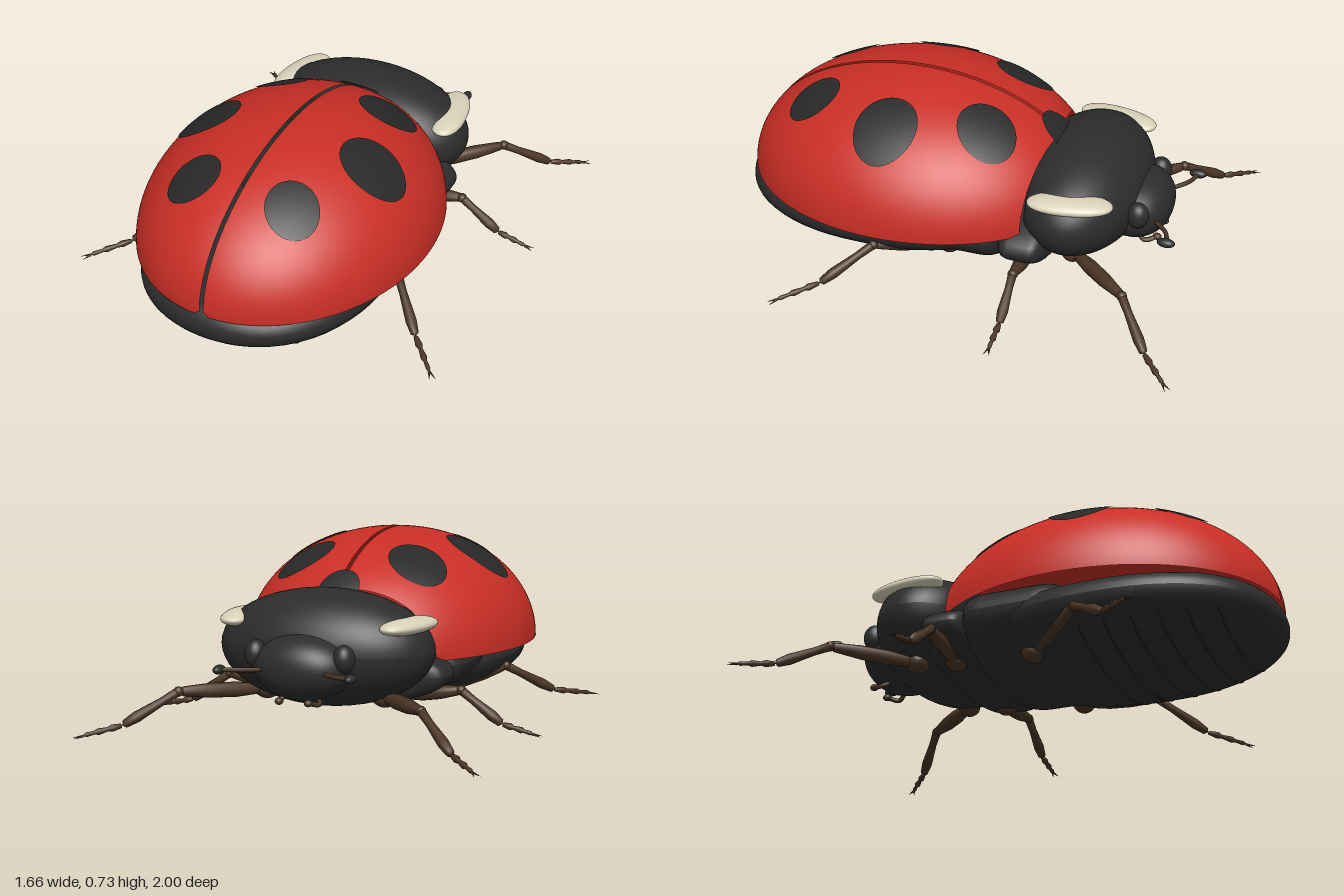
import * as THREE from 'three';
import { ParametricGeometry } from 'three/addons/geometries/ParametricGeometry.js';

const mat = (name, color, side = THREE.FrontSide) => {
  const m = new THREE.MeshStandardMaterial({ color, side });
  m.name = name;
  return m;
};
const V = (x, y, z) => new THREE.Vector3(x, y, z);

export function createModel() {
  const red = mat('wing case red', 0xc92e25, THREE.DoubleSide);
  const black = mat('body black', 0x2c2c2c);
  const spotBlack = mat('spot black', 0x282828, THREE.DoubleSide);
  const cream = mat('cream', 0xd9d2ba);
  const brown = mat('leg brown', 0x4a3525);
  const model = new THREE.Group();
  model.name = 'beetle';

  const add = (name, geometry, material, parent = model) => {
    const mesh = new THREE.Mesh(geometry, material);
    mesh.name = name;
    parent.add(mesh);
    return mesh;
  };

  // Ellipsoid whose profile along z gets boxier as e falls below 1
  const blob = (name, material, c, r, e = 1, limit = null, parent = model) => {
    const g = new THREE.SphereGeometry(1, 48, 32).rotateX(Math.PI / 2);
    const p = g.attributes.position;
    for (let i = 0; i < p.count; i++) {
      const z = p.getZ(i), ring = Math.sqrt(Math.max(0, 1 - z * z));
      const k = ring > 1e-5 ? Math.pow(ring, e - 1) : 0;
      const v = V(p.getX(i) * k * r[0], p.getY(i) * k * r[1], Math.sign(z) * Math.pow(Math.abs(z), e) * r[2]);
      if (limit) limit(v);
      p.setXYZ(i, v.x, v.y, v.z);
    }
    if (e !== 1 || limit) g.computeVertexNormals();
    else g.scale(1, 1, 1);
    if (e === 1 && !limit) g.computeVertexNormals();
    const mesh = add(name, g, material, parent);
    mesh.position.set(...c);
    return mesh;
  };

  // Limb section between two points, from a lathe profile of [radius, fraction]
  const limb = (name, a, b, profile, material, parent) => {
    const len = a.distanceTo(b);
    const pts = profile.map(([r, t]) => new THREE.Vector2(r, t * len));
    const mesh = add(name, new THREE.LatheGeometry(pts, 12), material, parent);
    mesh.position.copy(a);
    mesh.quaternion.setFromUnitVectors(V(0, 1, 0), b.clone().sub(a).normalize());
    return mesh;
  };

  // Wing cases: two quarter shells of one ellipsoid, cut off at the front
  const RX = 0.59, RY = 0.465, RZ = 0.72, CY = 0.27, CZ = 0.27, GAP = 0.008;
  for (const s of [1, -1]) {
    const shell = new ParametricGeometry((u, v, out) => {
      const a = v * Math.PI / 2;
      const front = Math.acos((0.59 - 0.05 * Math.sin(a)) / RZ);
      const t = THREE.MathUtils.lerp(front, Math.PI - 0.03, s > 0 ? u : 1 - u);
      const r = Math.sin(t);
      out.set(s * (GAP + (RX - GAP) * r * Math.sin(a)), CY + RY * r * Math.cos(a), CZ - RZ * Math.cos(t));
    }, 48, 28);
    add(s > 0 ? 'leftWingCase' : 'rightWingCase', shell, red);
  }

  // Spots: thin discs laid over the wing case surface
  const spot = (name, cx, cz, radius, sweep = Math.PI * 2) => add(name,
    new ParametricGeometry((u, v, out) => {
      const rr = radius * (0.001 + 0.999 * u), a = (1 - v) * sweep;
      const x = cx + rr * Math.cos(a), z = cz + rr * Math.sin(a);
      const h = Math.sqrt(Math.max(0.0, 1 - (x / RX) ** 2 - ((z - CZ) / RZ) ** 2));
      const n = V(x / RX ** 2, h / RY, (z - CZ) / RZ ** 2).normalize();
      out.set(x, CY + RY * h, z).addScaledVector(n, 0.007);
    }, 10, 40), spotBlack);
  for (const s of [1, -1]) {
    spot('frontSpot', s * 0.24, -0.08, 0.116);
    spot('middleSpot', s * 0.36, 0.295, 0.127);
    spot('rearSpot', s * 0.21, 0.66, 0.103);
  }
  spot('collarSpot', 0, -0.32, 0.085, Math.PI);

  // Body
  const abC = [0, 0.21, 0.37], abR = [0.5, 0.175, 0.63], abE = 0.88;
  blob('abdomen', black, abC, abR, abE, v => { v.y = Math.min(v.y, 0.075); });
  blob('rearThorax', black, [0, 0.24, 0.005], [0.46, 0.177, 0.21], 0.3);
  blob('middleThorax', black, [0, 0.22, -0.275], [0.455, 0.13, 0.11], 0.45);
  blob('frontThorax', black, [0, 0.33, -0.43], [0.44, 0.23, 0.26], 1, v => { v.z = Math.min(v.z, 0.16); });
  blob('head', black, [0, 0.285, -0.64], [0.2, 0.128, 0.15], 0.9);

  // Segment seams under the abdomen
  for (let i = 0; i < 6; i++) {
    const z = 0.3 + i * 0.105;
    const k = Math.pow(1 - Math.pow((z - abC[2]) / abR[2] * Math.sign(z - abC[2]), 2 / abE), abE / 2);
    const pts = [];
    for (let j = 0; j <= 16; j++) {
      const a = (j / 16 - 0.5) * 2.1;
      pts.push(V(abR[0] * k * Math.sin(a), abC[1] - abR[1] * k * Math.cos(a), z));
    }
    add('bellySeam', new THREE.TubeGeometry(new THREE.CatmullRomCurve3(pts), 32, 0.003, 5), brown);
  }

  const femur = [[0, 0], [0.018, 0.02], [0.03, 0.35], [0.029, 0.65], [0.019, 0.95], [0, 1]];
  const tibia = [[0, 0], [0.018, 0.03], [0.016, 0.3], [0.022, 0.75], [0.016, 0.96], [0, 1]];
  const tarsus = [[0, 0], [0.009, 0.03], [0.014, 0.25], [0.008, 0.36], [0.013, 0.6], [0.007, 0.7], [0.009, 0.9], [0, 1]];
  const claw = [[0, 0], [0.005, 0.1], [0, 1]];

  // Hip, knee, ankle and toe of each leg on the +x side
  const legs = {
    frontLeg: [[0.25, 0.15, -0.45], [0.5, 0.165, -0.72], [0.67, 0.045, -0.86], [0.785, 0.016, -0.965]],
    middleLeg: [[0.25, 0.13, -0.28], [0.5, 0.165, -0.28], [0.67, 0.045, -0.283], [0.795, 0.016, -0.283]],
    hindLeg: [[0.28, 0.1, 0.06], [0.49, 0.165, 0.31], [0.65, 0.045, 0.48], [0.775, 0.016, 0.615]],
  };

  for (const s of [1, -1]) {
    for (const [name, points] of Object.entries(legs)) {
      const leg = new THREE.Group();
      leg.name = (s > 0 ? 'left ' : 'right ') + name;
      model.add(leg);
      const [hip, knee, ankle, toe] = points.map(([x, y, z]) => V(s * x, y, z));
      blob('hip', brown, hip.toArray(), [0.05, 0.04, 0.045], 1, null, leg);
      limb('thigh', hip, knee, femur, brown, leg);
      blob('knee', brown, knee.toArray(), [0.02, 0.02, 0.02], 1, null, leg);
      limb('shin', knee, ankle, tibia, brown, leg);
      limb('foot', ankle, toe, tarsus, brown, leg);
      const dir = toe.clone().sub(ankle).setY(0).normalize();
      for (const k of [1, -1]) {
        const tip = toe.clone().addScaledVector(dir, 0.036).add(V(-dir.z * k * 0.013, -0.008, dir.x * k * 0.013));
        limb('claw', toe.clone().addScaledVector(dir, -0.008), tip, claw, brown, leg);
      }
    }

    // Cream cheek marks on the front thorax
    const mark = blob('cheekMark', cream, [s * 0.352, 0.435, -0.46], [0.072, 0.032, 0.168], 0.9);
    mark.rotation.y = s * 0.19;

    // Eyes, feelers and mouth feelers
    blob('eye', black, [s * 0.182, 0.33, -0.69], [0.042, 0.055, 0.045]);
    const feeler = new THREE.CatmullRomCurve3([V(s * 0.11, 0.28, -0.73), V(s * 0.15, 0.282, -0.77),
      V(s * 0.2, 0.285, -0.81), V(s * 0.265, 0.285, -0.83)]);
    add('feeler', new THREE.TubeGeometry(feeler, 20, 0.009, 8), brown);
    blob('feelerClub', black, [s * 0.268, 0.285, -0.828], [0.02, 0.018, 0.036]);
    const palp = new THREE.CatmullRomCurve3([V(s * 0.06, 0.18, -0.66), V(s * 0.085, 0.155, -0.7), V(s * 0.06, 0.165, -0.745)]);
    add('mouthFeeler', new THREE.TubeGeometry(palp, 12, 0.01, 8), brown);
    blob('mouthFeelerTip', brown, [s * 0.06, 0.165, -0.745], [0.016, 0.014, 0.018]);
  }
  return model;
}
